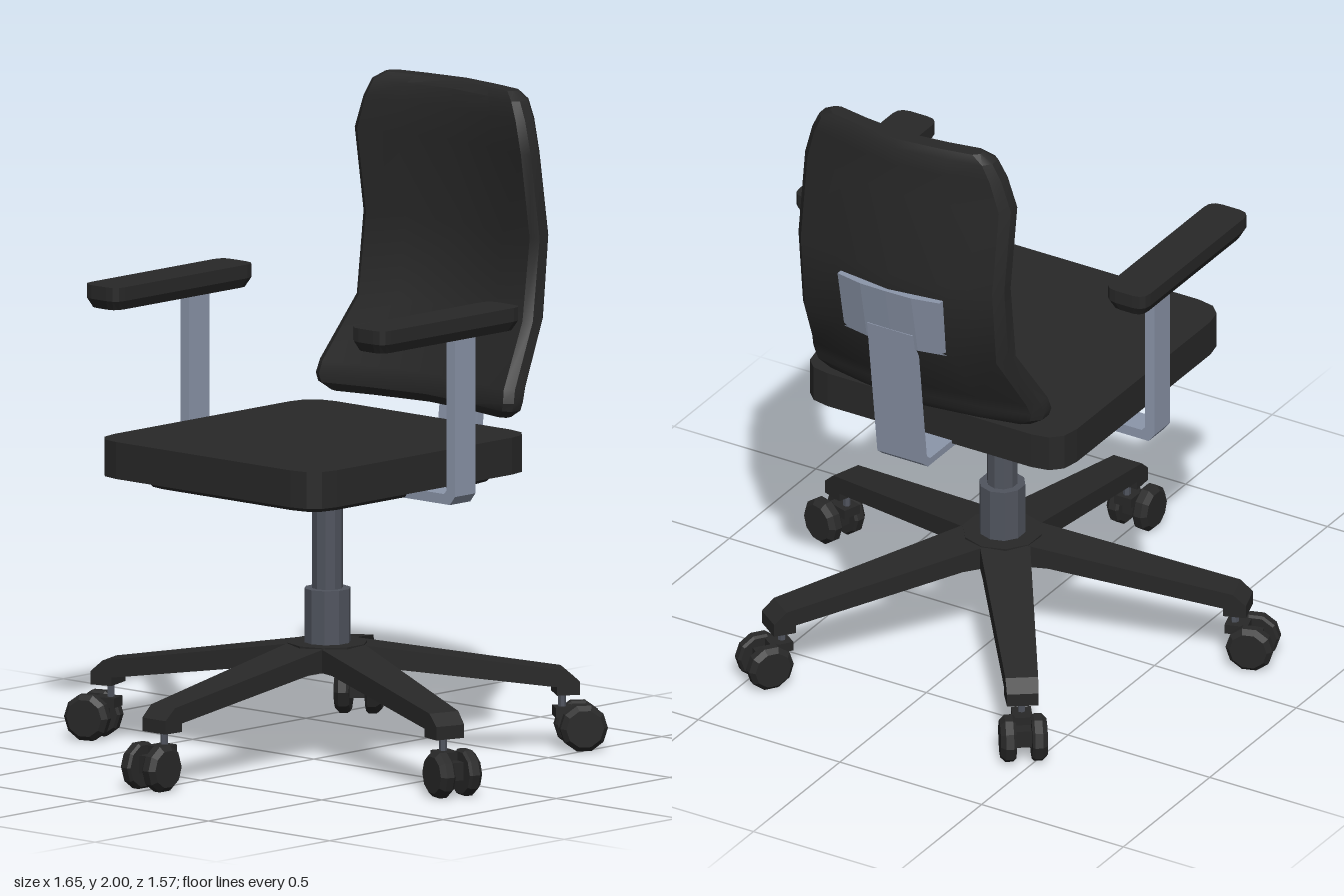
import * as THREE from 'three';
import { toCreasedNormals } from 'three/addons/utils/BufferGeometryUtils.js';

const flat = (color) => new THREE.MeshStandardMaterial({ color, flatShading: true });
const black = flat(0x282828);
const metal = flat(0x8c96aa);
const steel = flat(0x50545e);
const fabric = new THREE.MeshStandardMaterial({ color: 0x282828 });
const COLUMN_Z = -0.06;

function add(parent, name, geometry, material, x = 0, y = 0, z = 0) {
  const mesh = new THREE.Mesh(geometry, material);
  mesh.name = name;
  mesh.position.set(x, y, z);
  parent.add(mesh);
  return mesh;
}

// Apply a rule to every vertex
function reshape(geometry, rule) {
  const p = geometry.attributes.position;
  const v = new THREE.Vector3();
  for (let i = 0; i < p.count; i++) {
    rule(v.fromBufferAttribute(p, i));
    p.setXYZ(i, v.x, v.y, v.z);
  }
  geometry.computeVertexNormals();
  return geometry;
}

// Horizontal slab with rounded corners, standing on y = 0, bottom drawn in by inset
function slab(w, d, h, corner, inset = 0) {
  const a = w / 2, b = d / 2, c = corner;
  const s = new THREE.Shape();
  s.moveTo(-a + c, -b).lineTo(a - c, -b).quadraticCurveTo(a, -b, a, -b + c);
  s.lineTo(a, b - c).quadraticCurveTo(a, b, a - c, b);
  s.lineTo(-a + c, b).quadraticCurveTo(-a, b, -a, b - c);
  s.lineTo(-a, -b + c).quadraticCurveTo(-a, -b, -a + c, -b);
  const g = new THREE.ExtrudeGeometry(s, { depth: h, bevelEnabled: false, curveSegments: 3 });
  g.rotateX(-Math.PI / 2);
  return reshape(g, (v) => {
    if (v.y < h / 2) {
      v.x *= 1 - inset / a;
      v.z *= 1 - inset / b;
    }
  });
}

// Side profile extruded to a width, centred on its own plane
function profile(points, width) {
  const s = new THREE.Shape(points.map(([x, y]) => new THREE.Vector2(x, y)));
  const g = new THREE.ExtrudeGeometry(s, { depth: width, bevelEnabled: false });
  return g.translate(0, 0, -width / 2);
}

// Backrest lofted from rings; each row is height, half width, middle z, half thickness
function backrestGeometry() {
  const rows = [
    [1.03, 0.33, -0.535, 0], [1.03, 0.36, -0.535, 0.024], [1.055, 0.4, -0.536, 0.041],
    [1.08, 0.408, -0.538, 0.044], [1.12, 0.402, -0.55, 0.048], [1.31, 0.363, -0.66, 0.045],
    [1.56, 0.363, -0.688, 0.041], [1.82, 0.363, -0.649, 0.041], [1.92, 0.333, -0.649, 0.041],
    [1.975, 0.305, -0.649, 0.038], [2, 0.265, -0.65, 0.024], [2, 0.24, -0.65, 0],
  ];
  const across = [-0.93, -0.55, 0, 0.55, 0.93];
  const ring = [
    ...across.map((u) => [u, 1]), [1, 0.45], [1, -0.45],
    ...across.map((u) => [-u, -1]), [-1, -0.45], [-1, 0.45],
  ];
  const n = ring.length, pos = [], index = [];
  rows.forEach(([y, w, z, h], i) => {
    ring.forEach(([u, s], j) => {
      const x = u * w;
      pos.push(x, y, z + s * h + 0.066 * Math.pow(Math.abs(x) / 0.38, 1.4));
      if (i + 1 < rows.length) {
        const a = i * n + j, b = i * n + (j + 1) % n;
        index.push(a, b, b + n, a, b + n, a + n);
      }
    });
  });
  const g = new THREE.BufferGeometry();
  g.setAttribute('position', new THREE.Float32BufferAttribute(pos, 3));
  g.setIndex(index);
  return toCreasedNormals(g, 0.5);
}

// Twin wheel caster, pointing along +z from the stem
function caster() {
  const g = new THREE.Group();
  g.name = 'caster';
  add(g, 'casterStem', new THREE.CylinderGeometry(0.012, 0.012, 0.1, 6), steel, 0, 0.15, 0.72);
  add(g, 'casterHood', new THREE.BoxGeometry(0.06, 0.03, 0.07), black, 0, 0.118, 0.73);
  add(g, 'casterAxle', new THREE.BoxGeometry(0.06, 0.055, 0.07), black, 0, 0.08, 0.77);
  const pts = [[0, 0.024], [0.066, 0.024], [0.073, 0.032], [0.073, 0.056], [0.058, 0.071], [0, 0.071]]
    .map(([r, y]) => new THREE.Vector2(r, y));
  for (const side of [-1, 1]) {
    const wheel = new THREE.LatheGeometry(pts, 10).rotateZ(-side * Math.PI / 2);
    add(g, 'casterWheel', wheel, black, 0, 0.072, 0.777);
  }
  return g;
}

export function createModel() {
  const model = new THREE.Group();
  model.name = 'officeChair';

  // Five-legged base with casters
  const base = new THREE.Group();
  base.name = 'base';
  base.position.z = COLUMN_Z;
  model.add(base);
  const legShape = [[0, 0.28], [0.16, 0.28], [0.66, 0.205], [0.695, 0.2], [0.695, 0.174],
    [0.765, 0.174], [0.765, 0.215], [0.725, 0.25], [0.1, 0.352], [0, 0.352]];
  for (let i = 0; i < 5; i++) {
    const leg = new THREE.Group();
    leg.name = 'baseArm';
    leg.rotation.y = i * Math.PI * 2 / 5;
    const g = profile(legShape, 2).rotateY(-Math.PI / 2);
    reshape(g, (v) => { v.x *= 0.08 - 0.042 * v.z; });
    add(leg, 'leg', g, black);
    leg.add(caster());
    base.add(leg);
  }
  add(base, 'hub', new THREE.CylinderGeometry(0.122, 0.115, 0.077, 10), black, 0, 0.3165, 0);

  // Gas lift column
  add(model, 'columnSleeve', new THREE.CylinderGeometry(0.071, 0.071, 0.18, 10), steel, 0, 0.43, COLUMN_Z);
  add(model, 'columnPiston', new THREE.CylinderGeometry(0.047, 0.047, 0.34, 10), steel, 0, 0.66, COLUMN_Z);

  // Seat cushion, pan and mounting plate
  add(model, 'seatCushion', slab(0.92, 0.97, 0.113, 0.1), black, 0, 0.879, 0.003);
  add(model, 'seatPan', slab(0.77, 0.86, 0.036, 0.1, 0.025), black, 0, 0.845, -0.025);
  add(model, 'seatPlate', slab(0.43, 0.44, 0.035, 0.06, 0.02), black, 0, 0.812, -0.055);

  // Armrests, mirrored
  const postShape = [[0.34, 0.843], [0.545, 0.843], [0.566, 0.87], [0.566, 1.37], [0.531, 1.37],
    [0.531, 0.885], [0.52, 0.874], [0.34, 0.874]];
  for (const side of [1, -1]) {
    const arm = new THREE.Group();
    arm.name = side > 0 ? 'leftArmrest' : 'rightArmrest';
    const post = profile(postShape, 0.09);
    if (side < 0) post.rotateY(Math.PI);
    add(arm, 'armPost', post, metal, 0, 0, -0.062);
    add(arm, 'armPad', slab(0.14, 0.62, 0.042, 0.04), black, side * 0.55, 1.387, 0.05);
    add(arm, 'armPadUnderside', slab(0.14, 0.62, 0.029, 0.04, 0.015), black, side * 0.55, 1.358, 0.05);
    model.add(arm);
  }

  // Backrest with its support strap and plate
  add(model, 'backrest', backrestGeometry(), fabric);
  const strapShape = [[-0.36, 0.866], [-0.622, 0.866], [-0.652, 0.89], [-0.712, 1.36],
    [-0.684, 1.36], [-0.628, 0.905], [-0.61, 0.889], [-0.36, 0.889]];
  add(model, 'backStrap', profile(strapShape, 0.16).rotateY(-Math.PI / 2), metal);
  const plate = reshape(new THREE.BoxGeometry(0.36, 0.2, 0.034, 4, 1, 1), (v) => {
    v.z += -0.2 * v.y + Math.max(0, Math.abs(v.x) - 0.08) * 0.2;
  });
  add(model, 'backPlate', plate, metal, 0, 1.405, -0.702);

  return model;
}
